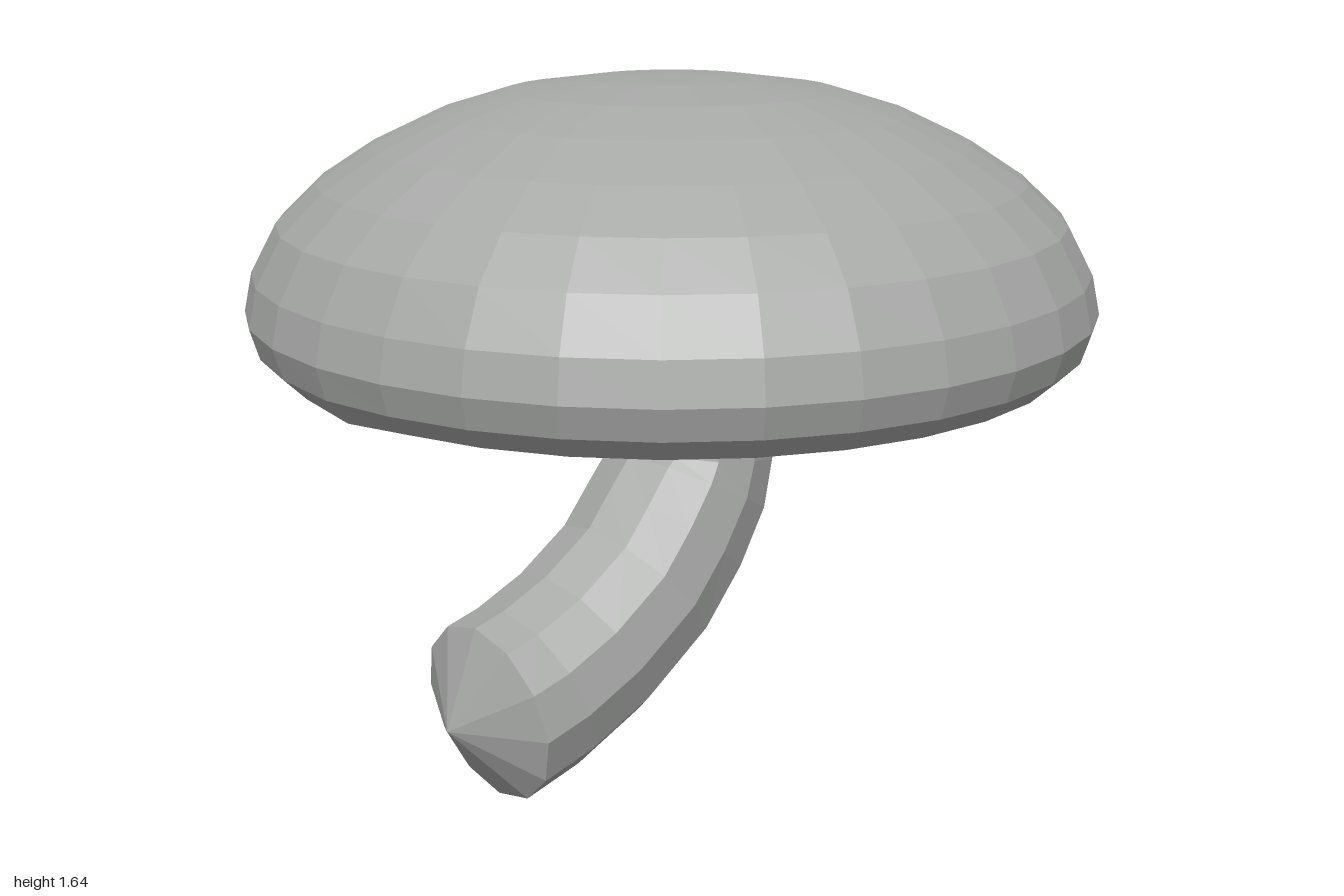
import * as THREE from 'three';

// Bake one normal per face for the faceted look
function faceted(geometry) {
  const flat = geometry.index ? geometry.toNonIndexed() : geometry;
  flat.computeVertexNormals();
  return flat;
}

// Cap: lathe from the hollow underside out to the rim and over the dome
function capGeometry() {
  const profile = [
    [0, 1.1], [0.2, 1.1], [0.386, 1.1], [0.557, 1.095], [0.83, 0.975],
    [0.93, 1.0], [0.98, 1.05], [1, 1.12], [0.98, 1.21], [0.92, 1.32],
    [0.825, 1.41], [0.7, 1.49], [0.55, 1.56], [0.385, 1.61], [0.2, 1.635], [0, 1.645],
  ].map(([r, y]) => new THREE.Vector2(r, y));
  const geometry = new THREE.LatheGeometry(profile, 32);

  // Let the rim sag at the back, with a small lip at the front
  const pos = geometry.attributes.position;
  for (let i = 0; i < pos.count; i++) {
    const x = pos.getX(i), y = pos.getY(i), z = pos.getZ(i);
    if (Math.hypot(x, z) < 0.8 || y > 1.06) continue;
    const weight = y < 0.98 ? 1 : y < 1.02 ? 0.6 : 0.15;
    const sag = z < 0
      ? THREE.MathUtils.clamp(0.15 * (0.6 - Math.abs(x)), 0, 0.065)
      : Math.abs(x) < 0.05 ? 0.02 : 0;
    pos.setY(i, y - sag * weight);
  }
  return faceted(geometry);
}

// Stem: twelve-sided rings along a bent path, closed by a pointed foot
function stemGeometry() {
  const sides = 12;
  // z, y, half-width across x, radius in the bend plane
  const rings = [
    [0.593, 0.22, 0.22, 0.22], [0.47, 0.247, 0.22, 0.22], [0.31, 0.31, 0.22, 0.22],
    [0.136, 0.42, 0.22, 0.22], [0.035, 0.533, 0.22, 0.22], [-0.045, 0.645, 0.215, 0.21],
    [-0.075, 0.73, 0.21, 0.19], [-0.075, 0.86, 0.195, 0.165], [-0.06, 1.0, 0.17, 0.14],
    [-0.055, 1.12, 0.165, 0.135],
  ];
  const points = [], index = [];
  rings.forEach(([z, y, rx, r], i) => {
    const before = rings[Math.max(i - 1, 0)];
    const after = rings[Math.min(i + 1, rings.length - 1)];
    const along = i === 0
      ? new THREE.Vector2(-0.99, 0.125)
      : new THREE.Vector2(after[0] - before[0], after[1] - before[1]).normalize();
    for (let j = 0; j < sides; j++) {
      const a = (j / sides) * Math.PI * 2;
      const out = r * Math.cos(a);
      points.push(rx * Math.sin(a), y - along.x * out, z + along.y * out);
    }
  });
  const tip = points.length / 3;
  points.push(0, 0.21, 0.71);
  for (let j = 0; j < sides; j++) {
    const k = (j + 1) % sides;
    index.push(j, tip, k);
    for (let i = 0; i < rings.length - 1; i++) {
      const a = i * sides + j, b = i * sides + k;
      index.push(a, b, a + sides, b, b + sides, a + sides);
    }
  }
  const geometry = new THREE.BufferGeometry();
  geometry.setAttribute('position', new THREE.Float32BufferAttribute(points, 3));
  geometry.setIndex(index);
  return faceted(geometry);
}

export function createModel() {
  const grey = new THREE.MeshStandardMaterial({ color: 0xa6a8a6 });
  grey.name = 'grey';

  const group = new THREE.Group();
  group.name = 'mushroom';
  const cap = new THREE.Mesh(capGeometry(), grey);
  cap.name = 'cap';
  const stem = new THREE.Mesh(stemGeometry(), grey);
  stem.name = 'stem';
  group.add(cap, stem);
  return group;
}
